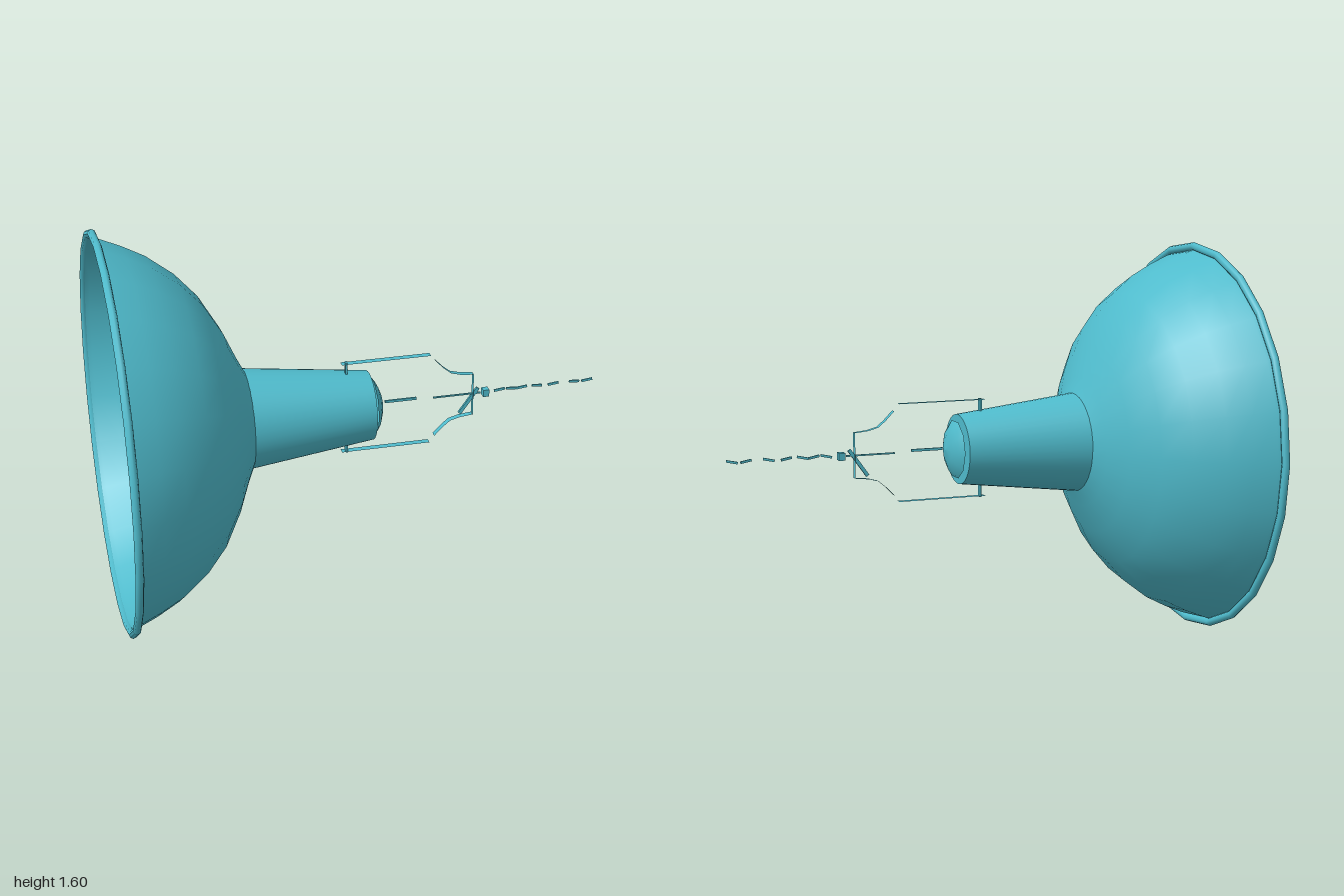
import * as THREE from 'three';

const teal = new THREE.MeshStandardMaterial({ color: 0x4fbbcc, side: THREE.DoubleSide });
teal.name = 'teal enamel';
const AXIS_Y = 0.8;

function add(parent, name, geometry) {
  const mesh = new THREE.Mesh(geometry, teal);
  mesh.name = name;
  parent.add(mesh);
  return mesh;
}

// Turned part about the x axis; profile is [x, radius] with x rising
function turned(parent, name, profile, sides) {
  const g = new THREE.LatheGeometry(profile.map(([x, r]) => new THREE.Vector2(r, x)), sides);
  return add(parent, name, g.rotateZ(-Math.PI / 2));
}

// Flat strip following [x, y] points, given a width along z
function ribbon(parent, name, path, width) {
  const pos = [], index = [];
  path.forEach(([x, y], i) => {
    pos.push(x, y, width / 2, x, y, -width / 2);
    if (i) {
      const a = 2 * i - 2;
      index.push(a, a + 2, a + 1, a + 1, a + 2, a + 3);
    }
  });
  const g = new THREE.BufferGeometry();
  g.setAttribute('position', new THREE.Float32BufferAttribute(pos, 3));
  g.setIndex(index);
  g.computeVertexNormals();
  return add(parent, name, g);
}

export function createModel() {
  const root = new THREE.Group();
  root.name = 'pendantLamp';
  const lamp = new THREE.Group();
  lamp.name = 'lamp';
  lamp.position.y = AXIS_Y;
  root.add(lamp);

  // Domed shade with a rolled rim
  turned(lamp, 'shade', [[-0.985, 0.768], [-0.963, 0.762], [-0.88, 0.727], [-0.79, 0.68], [-0.685, 0.6],
    [-0.6, 0.505], [-0.525, 0.375], [-0.477, 0.265], [-0.445, 0.2]], 24);
  const rim = [];
  for (let i = 0; i <= 8; i++) {
    const a = Math.PI - (i / 8) * Math.PI * 2;
    rim.push([-0.984 + 0.016 * Math.cos(a), 0.783 + 0.017 * Math.sin(a)]);
  }
  turned(lamp, 'rim', rim, 24);

  // Bulb inside the shade
  add(lamp, 'bulb', new THREE.SphereGeometry(0.23, 32, 20)).position.x = -0.67;
  turned(lamp, 'bulbNeck', [[-0.52, 0.17], [-0.4, 0.13]], 24);

  // Tapered socket housing, end plate and domed cap
  turned(lamp, 'socketHousing', [[-0.447, 0.2], [0.055, 0.14]], 40);
  turned(lamp, 'socketEnd', [[0.055, 0.14], [0.0551, 0]], 40);
  turned(lamp, 'cap', [[0.066, 0.118], [0.085, 0.09], [0.1, 0.05], [0.108, 0]], 10);
  const stem = add(lamp, 'stem', new THREE.BoxGeometry(0.13, 0.01, 0.008));
  stem.position.set(0.185, 0.006, 0);

  // Bracket: mirrored feet, straps and bent arms, joined by a cross strap
  for (const s of [1, -1]) {
    const side = s > 0 ? 'upper' : 'lower';
    const pin = add(lamp, side + 'BracketPin', new THREE.BoxGeometry(0.008, 0.055, 0.022));
    pin.position.set(-0.04, s * 0.172, 0);
    ribbon(lamp, side + 'Strap', [[-0.06, s * 0.195], [0.305, s * 0.195]], 0.028);
    ribbon(lamp, side + 'BentArm', [[0.325, s * 0.168], [0.36, s * 0.132], [0.39, s * 0.107],
      [0.43, s * 0.096], [0.485, s * 0.09]], 0.026);
  }
  ribbon(lamp, 'crossStrap', [[0.486, -0.09], [0.486, 0.09]], 0.026);

  // Hook with its loop
  const hook = add(lamp, 'hook', new THREE.BoxGeometry(0.13, 0.014, 0.01));
  hook.position.set(0.47, -0.03, 0);
  hook.rotation.z = 0.95;
  const loop = add(lamp, 'hookLoop', new THREE.BoxGeometry(0.025, 0.03, 0.03));
  loop.position.set(0.54, 0, 0);
  add(lamp, 'hookShank', new THREE.BoxGeometry(0.2, 0.006, 0.006)).position.set(0.42, 0, 0);

  // Twisted cord, shown as a run of small tilted slivers
  const cord = new THREE.Group();
  cord.name = 'cord';
  lamp.add(cord);
  [0.59, 0.64, 0.685, 0.75, 0.82, 0.91, 0.965].forEach((x, i) => {
    const sliver = add(cord, 'cordStrand', new THREE.BoxGeometry(0.045, 0.009, 0.007));
    sliver.position.set(x + 0.01, 0.004, 0);
    sliver.rotation.set(0, i % 2 ? 0.15 : -0.15, i % 2 ? -0.15 : 0.2);
  });
  return root;
}
